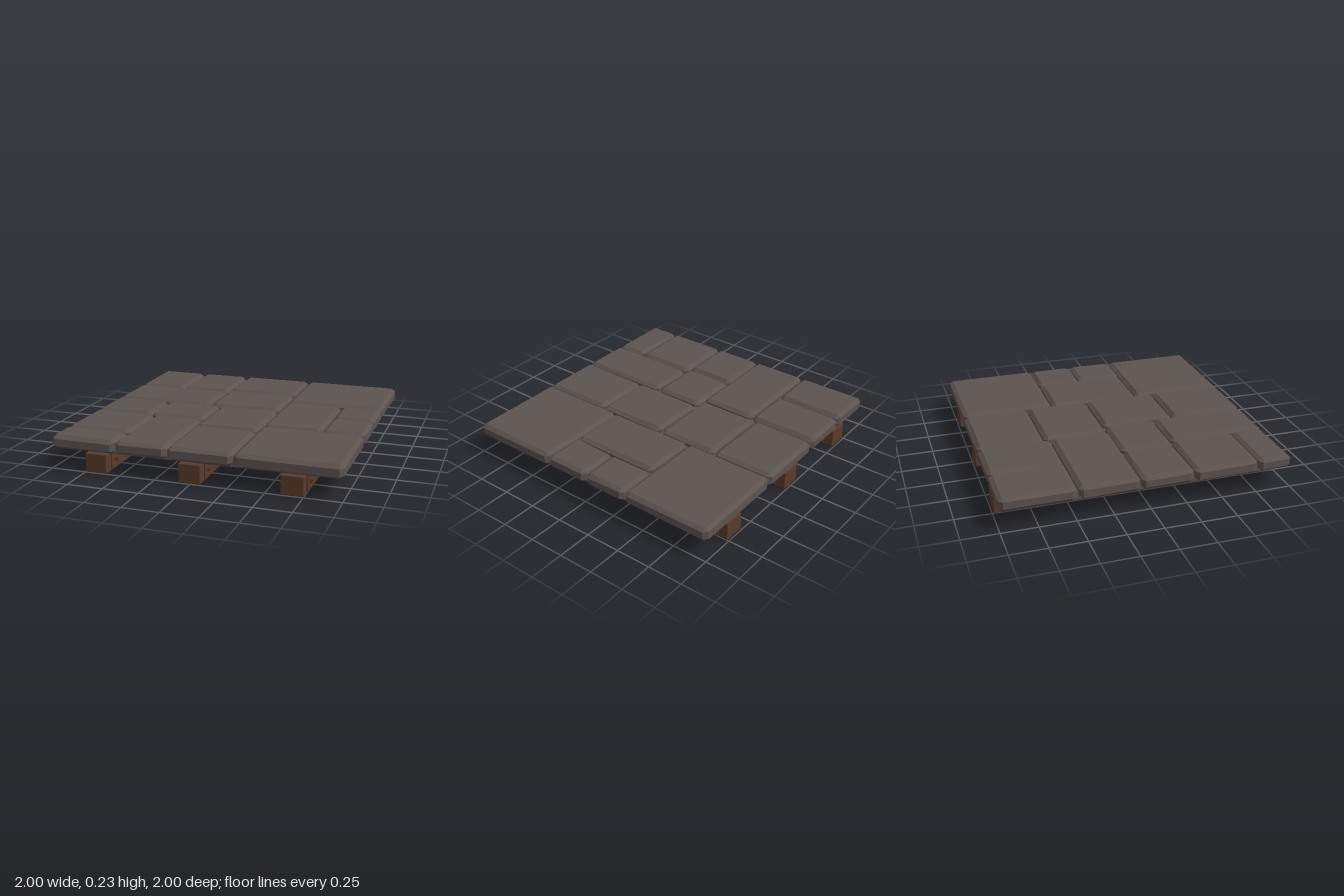
import * as THREE from 'three';
import { RoundedBoxGeometry } from 'three/addons/geometries/RoundedBoxGeometry.js';

const stone = new THREE.MeshStandardMaterial({ color: 0x5c534f });
stone.name = 'stone';
const wood = new THREE.MeshStandardMaterial({ color: 0x5a3b2b });
wood.name = 'wood';
const bolt = new THREE.MeshStandardMaterial({ color: 0x483124 });
bolt.name = 'bolt';

// Small seeded generator for the hewn irregularity, -1 to 1
let seed = 7;
const jitter = () => {
  seed = (seed * 16807) % 2147483647;
  return (seed / 2147483647) * 2 - 1;
};

// Paving slabs: x0, x1, z0, z1
const SLABS = [
  [-1, -0.64, -1, -0.495], [-0.63, -0.262, -1, -0.492],
  [-0.252, 0.28, -1, -0.54], [0.287, 1, -1, -0.34],
  [-1, -0.26, -0.482, -0.07], [-0.248, 0.28, -0.525, -0.08],
  [0.287, 0.7, -0.327, 0.33], [0.706, 1, -0.335, -0.01],
  [0.706, 1, -0.002, 0.33], [-1, -0.582, -0.065, 0.3],
  [-0.575, -0.172, -0.065, 0.3], [-0.16, 0.28, -0.065, 0.46],
  [-1, -0.538, 0.307, 0.755], [-1, -0.538, 0.763, 1],
  [-0.532, -0.17, 0.312, 1], [-0.162, 0.28, 0.467, 1],
  [0.287, 1, 0.335, 1],
];

// Slab lofted through four octagonal rings, bevelled above and below
function slabGeometry(x0, x1, z0, z1) {
  const cx = (x0 + x1) / 2, cz = (z0 + z1) / 2;
  const rings = [[0.14, 0.028], [0.163, 0], [0.213, 0], [0.235, 0.028]];
  const pos = [], idx = [];
  rings.forEach(([y, inset], level) => {
    const a = (x1 - x0) / 2 - inset, b = (z1 - z0) / 2 - inset;
    const c = inset ? 0.004 : 0.028;
    const middle = level === 1 || level === 2;
    const corners = [[a, b - c], [a - c, b], [c - a, b], [-a, b - c],
      [-a, c - b], [c - a, -b], [a - c, -b], [a, c - b]];
    for (const [x, z] of corners) {
      const k = 1 - (middle ? 0.004 * Math.abs(jitter()) : 0);
      pos.push(cx + x * k, y + (middle ? 0.006 * jitter() : 0), cz + z * k);
    }
  });
  for (let r = 0; r < 3; r++) {
    for (let i = 0; i < 8; i++) {
      const p = r * 8 + i, q = r * 8 + (i + 1) % 8;
      idx.push(p, p + 8, q + 8, p, q + 8, q);
    }
  }
  for (let i = 1; i < 7; i++) idx.push(0, i, i + 1, 24, 24 + i + 1, 24 + i);
  const g = new THREE.BufferGeometry();
  g.setAttribute('position', new THREE.Float32BufferAttribute(pos, 3));
  g.setIndex(idx);
  const flat = g.toNonIndexed();
  flat.computeVertexNormals();
  return flat;
}

function add(parent, name, geometry, material, x = 0, y = 0, z = 0) {
  const mesh = new THREE.Mesh(geometry, material);
  mesh.name = name;
  mesh.position.set(x, y, z);
  parent.add(mesh);
  return mesh;
}

export function createModel() {
  seed = 7;
  const model = new THREE.Group();
  model.name = 'pavedPlatform';

  // Stone floor with a continuous bed between and beneath the slabs
  const floor = new THREE.Group();
  floor.name = 'stoneFloor';
  model.add(floor);
  SLABS.forEach((s, i) => add(floor, `slab${i + 1}`, slabGeometry(...s), stone));
  add(floor, 'mortarBed', new THREE.BoxGeometry(1.93, 0.055, 1.93), stone, 0, 0.1655, 0);

  // Support beams, with a bolted plate on both sides at each end
  const beamGeo = new RoundedBoxGeometry(0.152, 0.131, 1.98, 1, 0.006);
  const plateGeo = new THREE.BoxGeometry(0.009, 0.112, 0.12);
  const boltGeo = new THREE.SphereGeometry(0.015, 8, 6);
  [-0.675, -0.01, 0.675].forEach((x, i) => {
    const beam = new THREE.Group();
    beam.name = `supportBeam${i + 1}`;
    beam.position.x = x;
    model.add(beam);
    add(beam, 'beam', beamGeo, wood, 0, 0.0655, 0);
    for (const sx of [-1, 1]) {
      for (const sz of [-1, 1]) {
        add(beam, 'plate', plateGeo, wood, sx * 0.0805, 0.07, sz * 0.86);
        add(beam, 'boltHead', boltGeo, bolt, sx * 0.086, 0.068, sz * 0.86);
      }
    }
  });
  return model;
}
